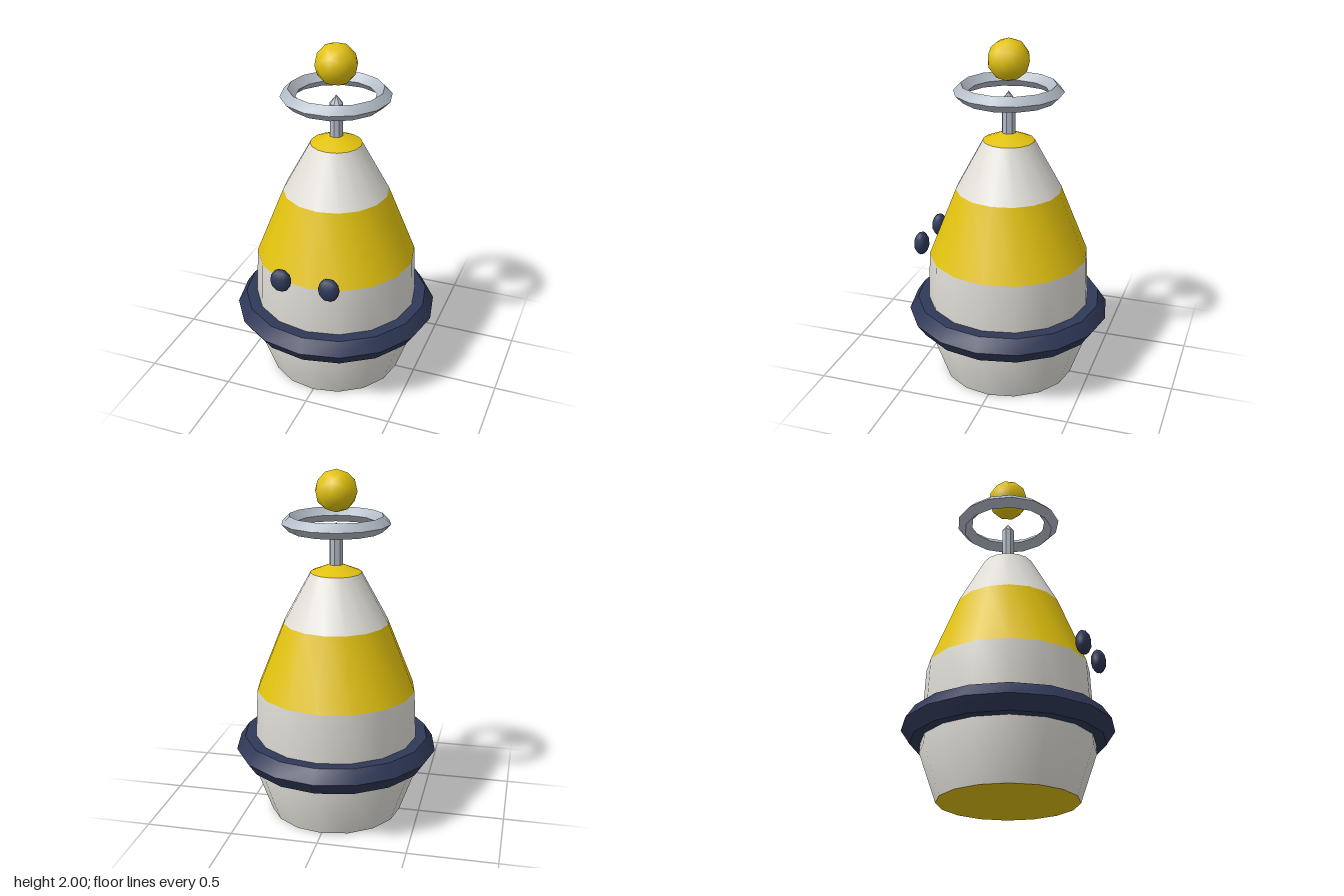
import * as THREE from 'three';
import { toCreasedNormals } from 'three/addons/utils/BufferGeometryUtils.js';

const paint = (name, color) => {
  const m = new THREE.MeshStandardMaterial({ color });
  m.name = name;
  return m;
};

export function createModel() {
  const group = new THREE.Group();
  const yellow = paint('yellow', 0xe2c20f);
  const white = paint('warm white', 0xe2dfd8);
  const navy = paint('navy', 0x2f3857);
  const grey = paint('light grey', 0xb2bbc6);

  const add = (name, geometry, material, x = 0, y = 0, z = 0) => {
    const mesh = new THREE.Mesh(geometry, material);
    mesh.name = name;
    mesh.position.set(x, y, z);
    group.add(mesh);
    return mesh;
  };
  const lathe = (points, sides) => toCreasedNormals(
    new THREE.LatheGeometry(points.map(([r, y]) => new THREE.Vector2(r, y)), sides), 0.6);
  // Horizontal faceted ring, optionally flattened
  const ring = (radius, tube, tubeSides, sides, flatten = 1) => toCreasedNormals(
    new THREE.TorusGeometry(radius, tube, tubeSides, sides).scale(1, 1, flatten).rotateX(Math.PI / 2), 0.6);

  // Body bands, from the base to the top
  add('bodyBase', lathe([[0, 0], [0.385, 0]], 16), yellow);
  add('lowerHull', lathe([[0.385, 0], [0.48, 0.27], [0.458, 0.75]], 16), white);
  add('middleBand', lathe([[0.458, 0.75], [0.3, 1.145]], 16), yellow);
  add('upperBand', lathe([[0.3, 1.145], [0.145, 1.43]], 16), white);
  add('bodyCap', lathe([[0.145, 1.43], [0.04, 1.473], [0, 1.475]], 16), yellow);

  // Bumper belt
  add('belt', ring(0.485, 0.1, 6, 16, 0.86), navy, 0, 0.398);

  // Mast with a pointed tip
  add('mast', lathe([[0.038, 1.45], [0.038, 1.66], [0, 1.71]], 8), grey);

  // Floating ring and ball
  add('halo', ring(0.262, 0.043, 4, 14), grey, 0, 1.708);
  add('ball', new THREE.IcosahedronGeometry(0.118, 1), yellow, 0, 1.882);

  // Eyes
  for (const side of [-1, 1]) {
    const eye = add(side > 0 ? 'leftEye' : 'rightEye',
      new THREE.IcosahedronGeometry(1, 1), navy, side * 0.14, 0.79, 0.487);
    eye.scale.set(0.061, 0.07, 0.042);
  }
  return group;
}
